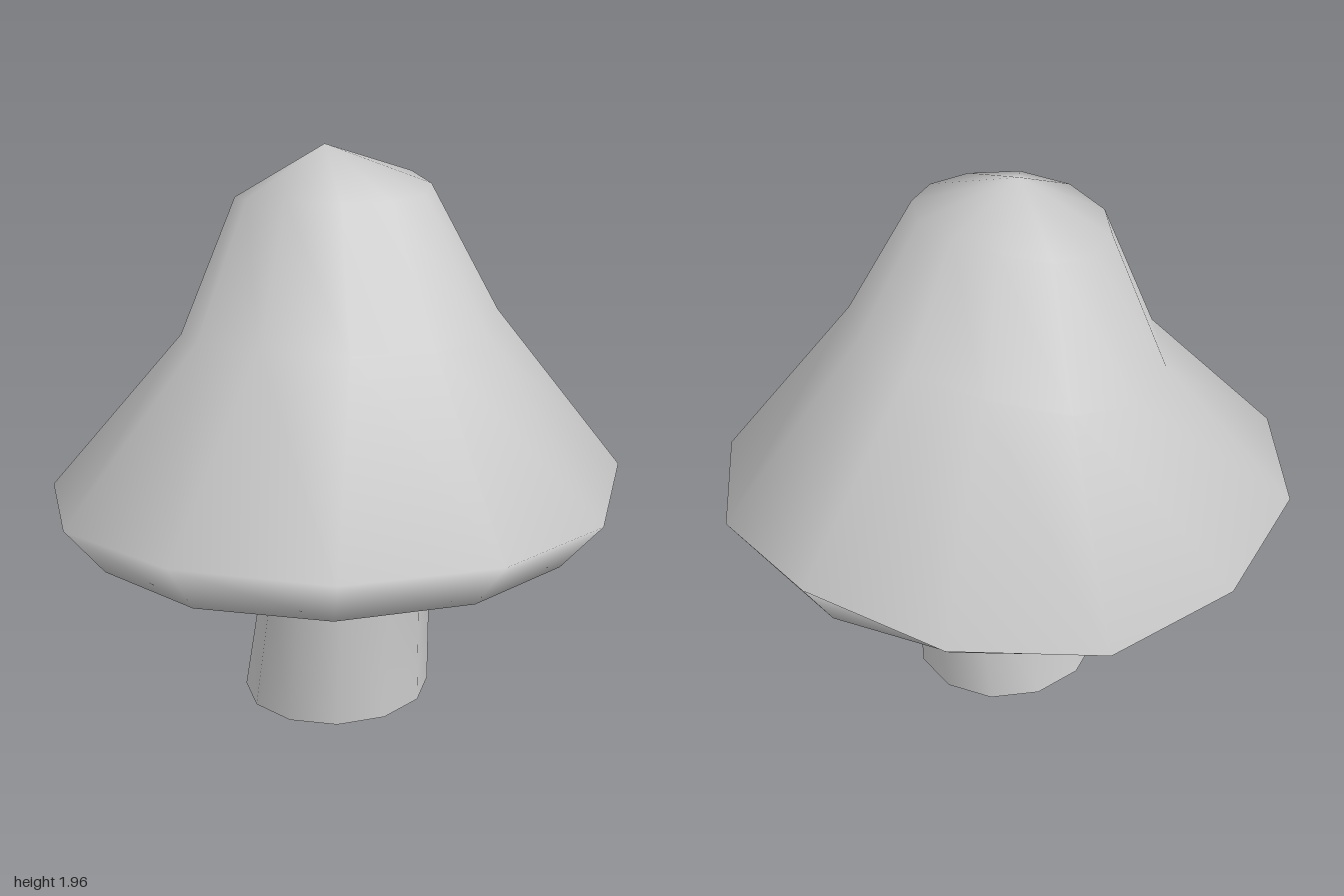
import * as THREE from 'three';

// Joins rings of [x, y, z] points, listed from top to bottom, into a smooth skin closed by an apex
function loft(rings, apex) {
  const n = rings[0].length;
  const points = [...rings.flat(), apex];
  const index = [];
  for (let j = 0; j < n; j++) {
    const k = (j + 1) % n;
    index.push(points.length - 1, k, j);
    for (let r = 0; r < rings.length - 1; r++) {
      const a = r * n + j, c = r * n + k, b = a + n, d = c + n;
      index.push(a, c, b, c, d, b);
    }
  }
  const geometry = new THREE.BufferGeometry();
  geometry.setAttribute('position', new THREE.Float32BufferAttribute(points.flat(), 3));
  geometry.setIndex(index);
  geometry.computeVertexNormals();
  return geometry;
}

// Level elliptical ring of the stem
function ellipse(cx, y, rx, rz) {
  return Array.from({ length: 12 }, (_, i) => {
    const t = (i / 12) * Math.PI * 2;
    return [cx + rx * Math.cos(t), y, rz * Math.sin(t)];
  });
}

export function createModel() {
  const group = new THREE.Group();
  group.name = 'mushroom';

  // Cap: uneven twelve-sided rim, sagging at the back right
  const rim = [
    [0.97, 0.78, -0.01], [0.83, 0.79, 0.48], [0.45, 0.8, 0.87], [-0.07, 0.8, 0.995],
    [-0.57, 0.78, 0.85], [-0.88, 0.775, 0.49], [-0.97, 0.75, -0.02], [-0.81, 0.71, -0.48],
    [-0.42, 0.76, -0.83], [0.02, 0.89, -1], [0.47, 0.87, -0.9], [0.84, 0.82, -0.52],
  ];
  const crown = rim.map(([x, , z]) =>
    [x * 0.345 - 0.025, 1.815 + 0.02 * x - 0.015 * z + 0.018 * (z * z - x * x), z * 0.285]);
  const shoulder = rim.map(([x, , z]) =>
    [x * 0.565, 1.37 + 0.033 * x - 0.035 * z + 0.035 * (z * z - x * x), z * 0.48]);

  // Lip below the rim, then the hollow underside rising to the stem
  const lipHeights = [0.61, 0.62, 0.63, 0.625, 0.615, 0.645, 0.6, 0.6, 0.645, 0.69, 0.67, 0.64];
  const lip = rim.map(([x, , z], i) => [x * 0.85, lipHeights[i], z * 0.88]);
  const gills = ellipse(0.035, 0.79, 0.33, 0.36);
  const cap = new THREE.Mesh(
    loft([crown, shoulder, rim, lip, gills], [-0.06, 1.96, 0]),
    new THREE.MeshStandardMaterial({ color: 0xcccccc }),
  );
  cap.name = 'cap';
  group.add(cap);

  // Stem: slightly bent, waisted, a hollow tube open at the foot and closed inside the cap
  const stem = new THREE.Mesh(
    loft([
      ellipse(0.035, 0.79, 0.33, 0.36),
      ellipse(0.025, 0.44, 0.285, 0.342),
      ellipse(-0.015, 0, 0.325, 0.35),
    ], [0.035, 0.8, 0]),
    new THREE.MeshStandardMaterial({ color: 0xcccccc, side: THREE.DoubleSide }),
  );
  stem.name = 'stem';
  group.add(stem);

  return group;
}
